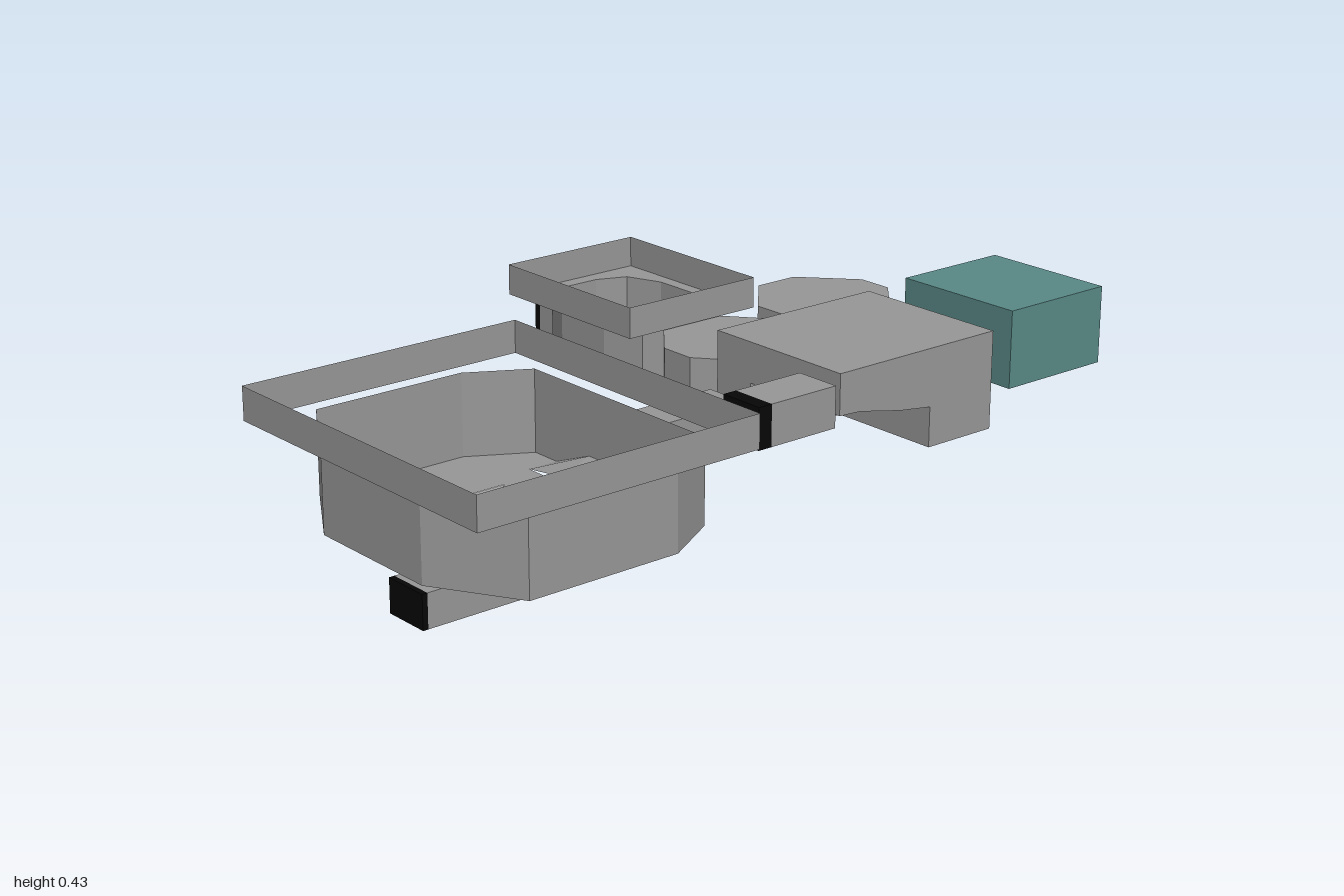
import * as THREE from 'three';

const grey = new THREE.MeshStandardMaterial({ color: 0x979797, side: THREE.DoubleSide });
grey.name = 'grey plastic';
const teal = new THREE.MeshStandardMaterial({ color: 0x588885 });
teal.name = 'teal';
const black = new THREE.MeshStandardMaterial({ color: 0x060606 });
black.name = 'black';

export function createModel() {
  const model = new THREE.Group();
  model.name = 'linkedBasins';

  const add = (name, geometry, material = grey) => {
    const mesh = new THREE.Mesh(geometry, material);
    mesh.name = name;
    model.add(mesh);
    return mesh;
  };

  // Box given by its limits on each axis
  const box = (name, x0, x1, y0, y1, z0, z1, material = grey) => {
    const g = new THREE.BoxGeometry(x1 - x0, y1 - y0, z1 - z0);
    g.translate((x0 + x1) / 2, (y0 + y1) / 2, (z0 + z1) / 2);
    return add(name, g, material);
  };

  // Flat-shaded sheet made of convex polygons
  const sheet = (name, polygons) => {
    const pos = [];
    for (const p of polygons)
      for (let i = 1; i < p.length - 1; i++) pos.push(...p[0], ...p[i], ...p[i + 1]);
    const g = new THREE.BufferGeometry();
    g.setAttribute('position', new THREE.Float32BufferAttribute(pos, 3));
    g.computeVertexNormals();
    return add(name, g);
  };

  const shapeOf = (pts) => new THREE.Shape(pts.map(([a, b]) => new THREE.Vector2(a, b)));
  // Outline drawn as (x, z)
  const planShape = (pts) => shapeOf(pts.map(([x, z]) => [x, -z]));

  const prism = (name, pts, y0, y1) => {
    const g = new THREE.ExtrudeGeometry(planShape(pts), { depth: y1 - y0, bevelEnabled: false });
    return add(name, g.rotateX(-Math.PI / 2).translate(0, y0, 0));
  };

  const plate = (name, pts, y, hole) => {
    const s = planShape(pts);
    if (hole) s.holes.push(planShape(hole));
    return add(name, new THREE.ShapeGeometry(s).rotateX(-Math.PI / 2).translate(0, y, 0));
  };

  // Upright walls round an outline, leaving out one edge if asked
  const walls = (name, pts, y0, y1, skip = -1) => {
    const quads = [];
    pts.forEach(([x, z], i) => {
      if (i === skip) return;
      const [u, w] = pts[(i + 1) % pts.length];
      quads.push([[x, y0, z], [u, y0, w], [u, y1, w], [x, y1, z]]);
    });
    return sheet(name, quads);
  };

  const rect = (x0, x1, z0, z1) => [[x0, z1], [x1, z1], [x1, z0], [x0, z0]];

  // Large basin
  walls('largeBasinRim', rect(-1, -0.295, -0.125, 0.687), 0.35, 0.427);
  const basin = [
    [-0.33, 0.56], [-0.33, -0.01], [-0.47, -0.09], [-0.845, -0.09],
    [-0.96, 0.1], [-0.96, 0.445], [-0.845, 0.64], [-0.47, 0.64],
  ];
  walls('largeBasinWalls', basin, 0.155, 0.35, 0);
  const notch = [
    [-0.33, 0.48], [-0.405, 0.48], [-0.405, 0.365], [-0.445, 0.365],
    [-0.445, 0.18], [-0.405, 0.18], [-0.405, 0.065], [-0.33, 0.065],
  ];
  const drain = rect(-0.805, -0.505, 0.105, 0.445);
  plate('largeBasinFloor', [basin[0], ...notch, ...basin.slice(1)], 0.155, drain);
  add('largeBasinOutletWall', new THREE.ShapeGeometry(shapeOf([
    [-0.56, 0.155], [-0.48, 0.155], [-0.365, 0.2], [-0.18, 0.2],
    [-0.065, 0.155], [0.01, 0.155], [0.01, 0.35], [-0.56, 0.35],
  ])).rotateY(Math.PI / 2).translate(-0.33, 0, 0));
  sheet('largeBasinOutletRamp', [
    [[-0.33, 0.2, 0.365], [-0.33, 0.2, 0.18], [-0.445, 0.155, 0.18], [-0.445, 0.155, 0.365]],
    ...[[0.365, 0.48], [0.18, 0.065]].map(([a, b]) =>
      [[-0.33, 0.2, a], [-0.405, 0.17, a], [-0.405, 0.155, b], [-0.33, 0.155, b]]),
  ]);

  // Square drain funnel tapering to the outlet pipe
  const rings = [[0.15, 0.17, 0.155], [0.088, 0.108, 0.112], [0.05, 0.056, 0.08]];
  const funnel = [];
  for (let i = 0; i < 2; i++) {
    const corners = ([hx, hz, y]) =>
      [[1, 1], [1, -1], [-1, -1], [-1, 1]].map(([a, b]) => [-0.655 + a * hx, y, 0.276 + b * hz]);
    const top = corners(rings[i]), low = corners(rings[i + 1]);
    for (let k = 0; k < 4; k++) {
      const n = (k + 1) % 4;
      funnel.push([low[k], low[n], top[n], top[k]]);
    }
  }
  sheet('drainFunnel', funnel);
  box('drainPipe', -0.872, -0.62, 0, 0.08, 0.22, 0.336);
  box('drainPipeEnd', -0.885, -0.872, 0, 0.08, 0.22, 0.336, black);

  // Small basin
  const bowl = [
    [0.11, -0.17], [0.345, -0.17], [0.385, -0.27], [0.385, -0.43], [0.35, -0.52],
    [0.275, -0.55], [0.185, -0.55], [0.115, -0.52], [0.075, -0.43], [0.075, -0.27],
  ];
  const smallRim = rect(0.037, 0.418, -0.588, -0.128);
  walls('smallBasinRim', smallRim, 0.313, 0.388);
  plate('smallBasinFlange', smallRim, 0.313, bowl);
  walls('smallBasinWalls', bowl, 0.157, 0.313, 0);
  plate('smallBasinFloor', [
    bowl[0], [0.19, -0.17], [0.19, -0.32], [0.27, -0.32], [0.27, -0.17], ...bowl.slice(1),
  ], 0.157);
  add('smallBasinInletWall', new THREE.ShapeGeometry(shapeOf([
    [0.11, 0.157], [0.19, 0.157], [0.19, 0.295], [0.27, 0.295],
    [0.27, 0.157], [0.345, 0.157], [0.345, 0.313], [0.11, 0.313],
  ])).translate(0, 0, -0.17));
  sheet('smallBasinInletRamp', [
    [[0.19, 0.157, -0.32], [0.27, 0.157, -0.32], [0.27, 0.295, -0.17], [0.19, 0.295, -0.17]],
    ...[0.19, 0.27].map((x) => [[x, 0.157, -0.32], [x, 0.295, -0.17], [x, 0.157, -0.17]]),
  ]);
  box('smallBasinSpout', 0.19, 0.27, 0.157, 0.252, -0.667, -0.55);
  box('smallBasinSpoutEnd', 0.19, 0.27, 0.157, 0.252, -0.685, -0.667, black);

  // Eight-sided and five-sided chambers
  const octagon = (cx, cz, hx, hz, bx, bz) => [
    [cx - bx, cz + hz], [cx + bx, cz + hz], [cx + hx, cz + bz], [cx + hx, cz - bz],
    [cx + bx, cz - hz], [cx - bx, cz - hz], [cx - hx, cz - bz], [cx - hx, cz + bz],
  ];
  prism('middleChamber', octagon(0.231, 0.015, 0.173, 0.185, 0.058, 0.045), 0.2, 0.311);
  prism('sideChamber', octagon(0.612, -0.09, 0.173, 0.17, 0.058, 0.045), 0.2, 0.311);
  prism('cornerChamber',
    [[0.48, 0.33], [0.67, 0.33], [0.67, 0.105], [0.575, 0.105], [0.48, 0.23]], 0.2, 0.311);

  // Central block with an undercut at the front
  box('centralBlockBack', 0, 0.46, 0.2, 0.427, 0.22, 0.33);
  const block = new THREE.ExtrudeGeometry(shapeOf([
    [0, 0.427], [0, 0.333], [0.06, 0.33], [0.18, 0.305], [0.27, 0.293], [0.27, 0.2], [0.46, 0.2], [0.46, 0.427],
  ]), { depth: 0.28, bevelEnabled: false });
  add('centralBlockFront', block.translate(0, 0, 0.33));

  // Pipes and the short necks between parts
  box('linkPipe', -0.31, -0.02, 0.2, 0.295, 0.22, 0.33);
  box('frontPipe', -0.2, -0.02, 0.313, 0.407, 0.507, 0.618);
  box('frontPipeEnd', -0.235, -0.2, 0.313, 0.407, 0.507, 0.618, black);
  const necks = [
    [-0.33, -0.31, 0.2, 0.25, 0.255, 0.293], [-0.02, 0, 0.2, 0.25, 0.255, 0.293],
    [-0.02, 0, 0.315, 0.365, 0.545, 0.582], [0.46, 0.48, 0.2, 0.25, 0.255, 0.293],
    [0.67, 0.695, 0.2, 0.25, 0.255, 0.293], [0.21, 0.248, 0.2, 0.25, 0.2, 0.22],
    [0.592, 0.63, 0.2, 0.25, 0.08, 0.105],
  ];
  necks.forEach((n, i) => box('neck' + (i + 1), ...n));

  // Teal box with two pale patches on its outer side
  box('tealBox', 0.692, 0.998, 0.2, 0.388, 0.107, 0.452, teal);
  const patches = [
    [[-0.353, 0.283], [-0.353, 0.267], [-0.325, 0.267], [-0.294, 0.287], [-0.294, 0.353], [-0.318, 0.338]],
    [[-0.261, 0.382], [-0.261, 0.32], [-0.206, 0.348], [-0.206, 0.382]],
  ];
  for (const p of patches)
    add('palePatch', new THREE.ShapeGeometry(shapeOf(p)).rotateY(Math.PI / 2).translate(1, 0, 0));

  return model;
}
